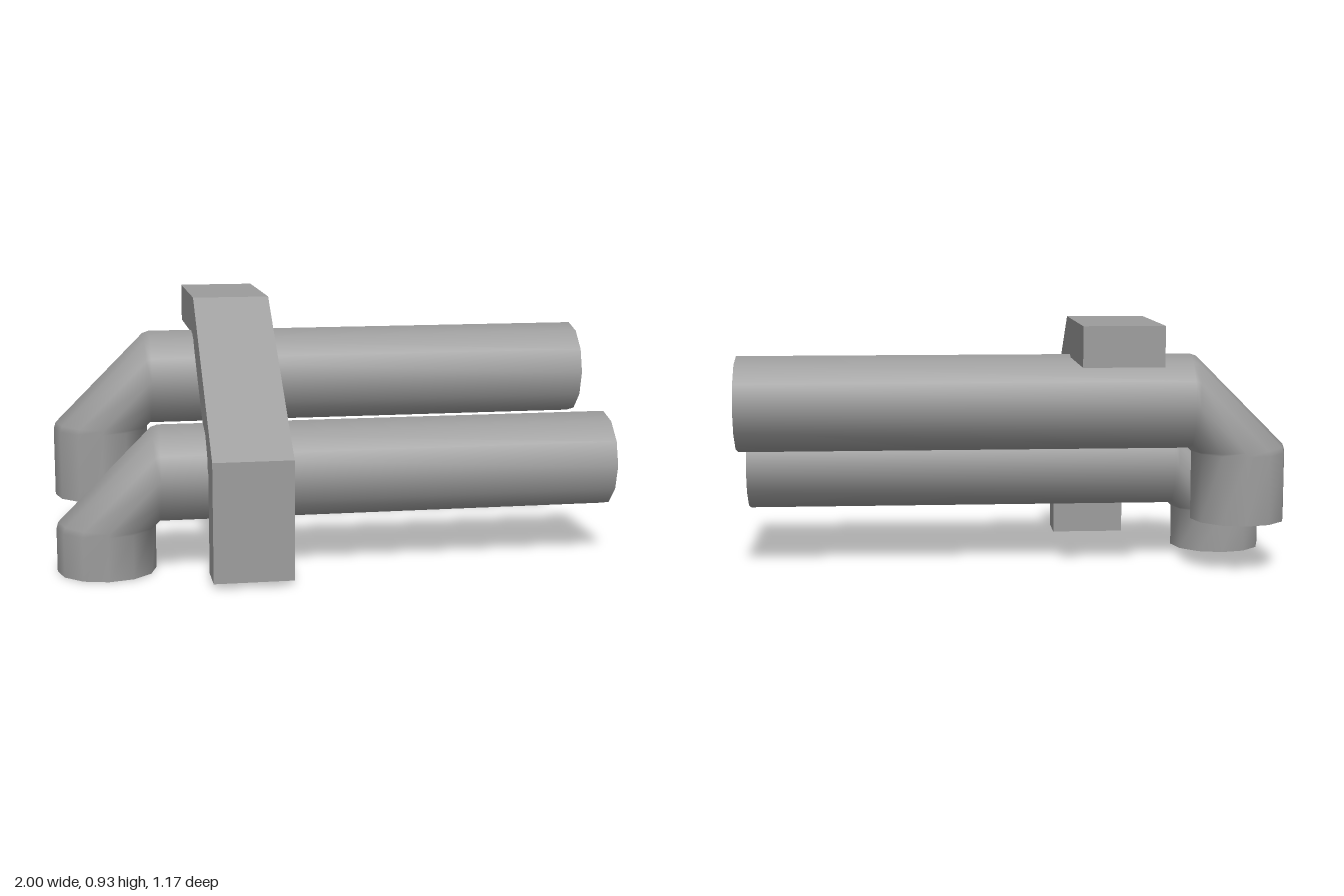
import * as THREE from 'three';
import { toCreasedNormals } from 'three/addons/utils/BufferGeometryUtils.js';

const SIDES = 12;
const RADIUS = 0.174;

// Sweeps a 12-sided section through rings given as [outerX, outerY, innerX, innerY].
function sweepRings(rings) {
  const positions = [], index = [];
  for (const [ox, oy, ix, iy] of rings) {
    for (let j = 0; j < SIDES; j++) {
      const t = (j / SIDES) * Math.PI * 2, c = Math.cos(t) / 2;
      positions.push((ox + ix) / 2 + (ox - ix) * c, (oy + iy) / 2 + (oy - iy) * c, RADIUS * Math.sin(t));
    }
  }
  for (let i = 0; i < rings.length - 1; i++) {
    for (let j = 0; j < SIDES; j++) {
      const k = (j + 1) % SIDES;
      const a = i * SIDES + j, b = i * SIDES + k;
      index.push(a, b, b + SIDES, a, b + SIDES, a + SIDES);
    }
  }
  // flat end caps
  const last = (rings.length - 1) * SIDES;
  for (let j = 1; j < SIDES - 1; j++) {
    index.push(0, j + 1, j, last, last + j, last + j + 1);
  }
  const geometry = new THREE.BufferGeometry();
  geometry.setAttribute('position', new THREE.Float32BufferAttribute(positions, 3));
  geometry.setIndex(index);
  return toCreasedNormals(geometry, Math.PI * 0.3);
}

// Pipe that rises from its foot, turns through a bevelled elbow and runs to the left.
function pipeGeometry(footY, lift) {
  return sweepRings([
    [-1, footY, -0.652, footY],
    [-1, 0.155 + lift, -0.652, 0.156 + lift],
    [-0.993, 0.179 + lift, -0.648, 0.16 + lift],
    [-0.664, 0.508 + lift, -0.644, 0.164 + lift],
    [-0.64, 0.516 + lift, -0.64, 0.168 + lift],
    [1, 0.516 + lift, 1, 0.168 + lift],
  ]);
}

// Bent strap profile in (z, y), extruded across x.
function strapGeometry() {
  const profile = [
    [0.585, 0.018], [0.585, 0.437], [-0.054, 0.928], [-0.585, 0.928],
    [-0.585, 0.788], [-0.1, 0.788], [0.445, 0.369], [0.445, 0.018],
  ];
  const shape = new THREE.Shape(profile.map(([z, y]) => new THREE.Vector2(z, y)));
  const geometry = new THREE.ExtrudeGeometry(shape, { depth: 0.279, bevelEnabled: false });
  geometry.rotateY(-Math.PI / 2);
  geometry.translate(-0.201, 0, 0);
  return geometry;
}

export function createModel() {
  const group = new THREE.Group();
  group.name = 'pipesWithStrap';
  const material = new THREE.MeshStandardMaterial({ color: 0x9c9c9c });
  const add = (name, geometry, z = 0) => {
    const mesh = new THREE.Mesh(geometry, material);
    mesh.name = name;
    mesh.position.z = z;
    group.add(mesh);
  };

  add('lowerFrontPipe', pipeGeometry(0, 0), 0.263);
  add('upperBackPipe', pipeGeometry(0.185, 0.281), -0.156);
  add('bentStrap', strapGeometry());
  return group;
}
